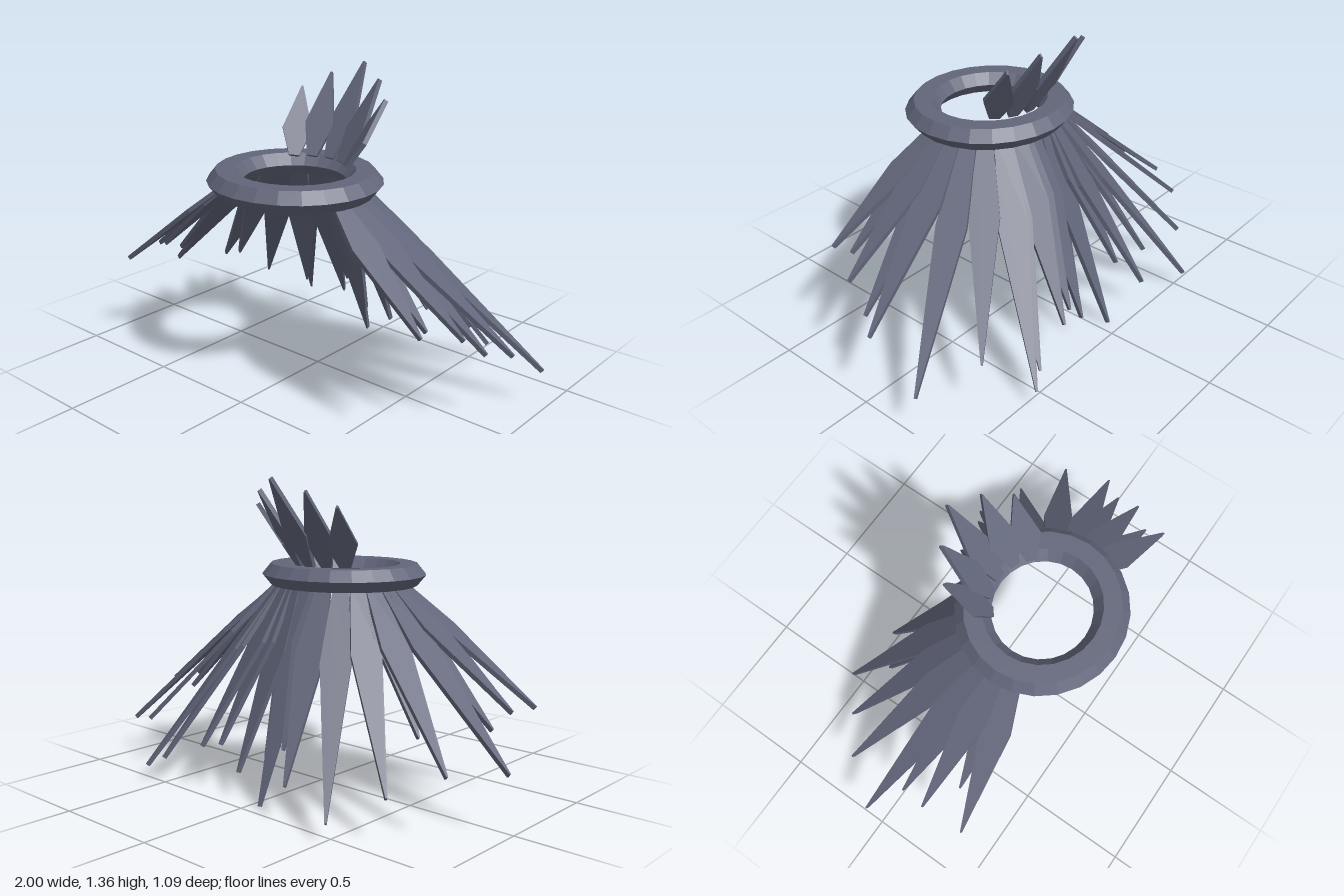
import * as THREE from 'three';

const CENTRE = new THREE.Vector3(0.03, 0.925, 0.18);
const DEPTH_RATIO = 0.953; // the collar is slightly narrower front to back

const material = new THREE.MeshStandardMaterial({ color: 0x62667a });
material.flatShading = true;

// Thin lance-shaped blade from root to tip, its width running along the collar
function blade(name, root, tip, width, rootWidth, widest, thickness) {
  const along = tip.clone().sub(root);
  const length = along.length();
  along.normalize();
  const outward = root.clone().sub(CENTRE).setY(0);
  const across = new THREE.Vector3(outward.z, 0, -outward.x);
  across.addScaledVector(along, -across.dot(along)).normalize();
  const normal = new THREE.Vector3().crossVectors(across, along);

  const w = width / 2, r = rootWidth / 2, t = 0.004, m = length * widest;
  const outline = [[-r, 0], [r, 0], [w, m], [t, length], [-t, length], [-w, m]];
  const shape = new THREE.Shape(outline.map(([x, y]) => new THREE.Vector2(x, y)));
  const geometry = new THREE.ExtrudeGeometry(shape, { depth: thickness, bevelEnabled: false });
  geometry.translate(0, 0, -thickness / 2);
  geometry.applyMatrix4(new THREE.Matrix4().makeBasis(across, normal.y === undefined ? across : along, normal));
  geometry.translate(root.x, root.y, root.z);

  const mesh = new THREE.Mesh(geometry, material);
  mesh.name = name;
  return mesh;
}

// Six-sided collar ring, flattened vertically
function createCollar() {
  const geometry = new THREE.TorusGeometry(0.299, 0.079, 6, 24);
  geometry.rotateX(-Math.PI / 2);
  geometry.scale(1, 0.7, DEPTH_RATIO);
  geometry.translate(CENTRE.x, CENTRE.y, CENTRE.z);
  const ring = new THREE.Mesh(geometry, material);
  ring.name = 'collarRing';
  return ring;
}

// Drooping cape feathers: tip positions, fanning from one side round the back
const CAPE_TIPS = [
  [-0.855, 0.41, 0.38], [-0.71, 0.49, 0.275], [-0.865, 0.43, 0.18], [-0.85, 0.38, 0.06],
  [-1.0, 0.255, -0.05], [-0.64, 0.35, -0.14], [-0.85, 0.26, -0.245], [-0.68, 0.175, -0.39],
  [-0.51, 0.075, -0.54], [-0.4, 0.195, -0.38], [-0.24, 0.145, -0.485], [-0.15, 0.26, -0.4],
  [-0.05, 0.005, -0.44], [0.03, 0.175, -0.32], [0.11, 0.11, -0.41], [0.21, 0.215, -0.42],
  [0.29, 0.2, -0.455], [0.5, 0.115, -0.5], [0.57, 0.075, -0.54], [0.73, 0.235, -0.395],
  [0.985, 0.175, -0.285], [0.72, 0.35, -0.14], [0.98, 0.335, -0.035], [0.915, 0.355, 0.06],
  [0.885, 0.45, 0.18], [0.78, 0.49, 0.28], [0.81, 0.5, 0.36],
];

function createCape() {
  const cape = new THREE.Group();
  cape.name = 'capeFeathers';
  CAPE_TIPS.forEach((point, i) => {
    const tip = new THREE.Vector3(...point);
    const root = tip.clone().sub(CENTRE).setY(0).setLength(0.28);
    root.z *= DEPTH_RATIO;
    root.add(CENTRE);
    root.y = 0.9;
    cape.add(blade(`capeFeather${i + 1}`, root, tip, 0.13, 0.06, 0.36, 0.02));
  });
  return cape;
}

// Upright crest: a centre blade and two mirrored pairs
function createCrest() {
  const crest = new THREE.Group();
  crest.name = 'crest';
  const blades = [
    { root: [0, 0.97, -0.04], tip: [0, 1.355, -0.28] },
    { root: [0.08, 0.97, -0.02], tip: [0.133, 1.303, -0.215] },
    { root: [0.145, 0.97, 0.025], tip: [0.232, 1.24, -0.13] },
  ];
  blades.forEach(({ root, tip }, i) => {
    for (const side of i === 0 ? [1] : [1, -1]) {
      const place = ([x, y, z]) => new THREE.Vector3(CENTRE.x + side * x, y, z);
      const name = i === 0 ? 'crestCentre' : `crest${side > 0 ? 'Left' : 'Right'}${i}`;
      crest.add(blade(name, place(root), place(tip), 0.13, 0.045, 0.38, 0.02));
    }
  });
  return crest;
}

export function createModel() {
  const model = new THREE.Group();
  model.name = 'featheredCollar';
  model.add(createCollar(), createCape(), createCrest());
  return model;
}
